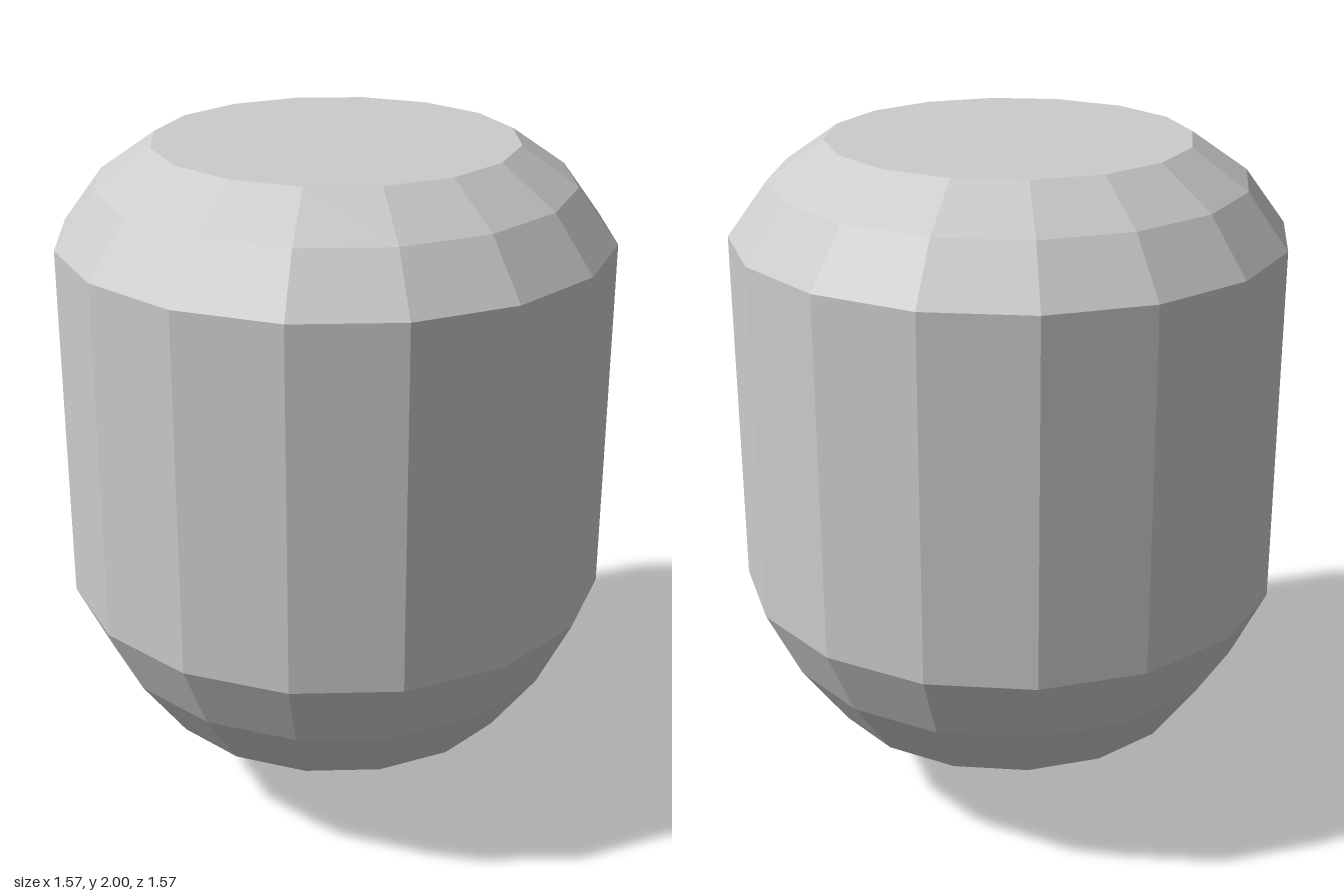
import * as THREE from 'three';

const SIDES = 16;

// Faceted solid of revolution from [radius, height] pairs, listed bottom to top
function turned(name, profile, material) {
  const points = profile.map(([r, y]) => new THREE.Vector2(r, y));
  const mesh = new THREE.Mesh(new THREE.LatheGeometry(points, SIDES), material);
  mesh.name = name;
  return mesh;
}

export function createModel() {
  const model = new THREE.Group();
  model.name = 'capsule';
  const grey = new THREE.MeshStandardMaterial({ color: 0xcccccc, flatShading: true });

  // Rounded underside closing to a point
  model.add(turned('pointedBase', [[0, 0], [0.545, 0.305], [0.682, 0.495], [0.783, 0.703]], grey));

  // Straight faceted wall
  model.add(turned('wall', [[0.783, 0.703], [0.783, 1.735]], grey));

  // Two-step bevelled shoulder
  model.add(turned('shoulder', [[0.783, 1.735], [0.668, 1.89], [0.51, 2]], grey));

  // Flat top
  const lid = new THREE.Mesh(new THREE.CircleGeometry(0.51, SIDES), grey);
  lid.name = 'flatTop';
  lid.rotation.x = -Math.PI / 2;
  lid.position.y = 2;
  model.add(lid);

  return model;
}
